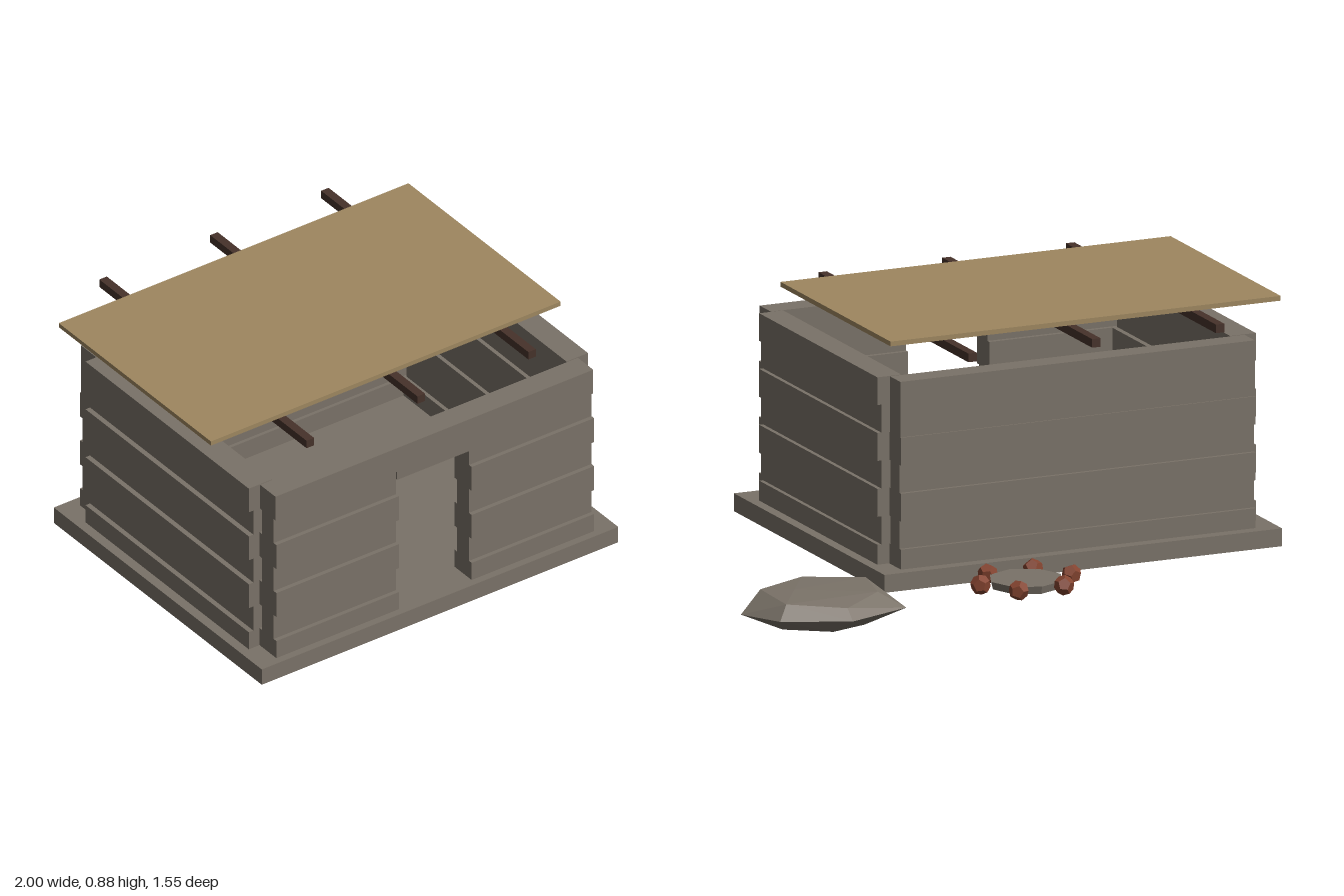
import * as THREE from 'three';
import { ConvexGeometry } from 'three/addons/geometries/ConvexGeometry.js';

export function createModel() {
  const model = new THREE.Group();
  model.name = 'stoneHut';
  const mat = (name, color, flatShading = false) => {
    const m = new THREE.MeshStandardMaterial({ color, flatShading });
    m.name = name;
    return m;
  };
  const stone = mat('stone', 0x7a7268, true);
  const thatch = mat('thatch', 0x9e8760);
  const darkWood = mat('darkWood', 0x46322a);
  const clay = mat('clay', 0x844430, true);

  const add = (parent, name, geometry, material) => {
    const mesh = new THREE.Mesh(geometry, material);
    mesh.name = name;
    parent.add(mesh);
    return mesh;
  };
  // Box given by its limits on each axis
  const box = (parent, name, material, [x0, x1], [y0, y1], [z0, z1]) => {
    const mesh = add(parent, name, new THREE.BoxGeometry(x1 - x0, y1 - y0, z1 - z0), material);
    mesh.position.set((x0 + x1) / 2, (y0 + y1) / 2, (z0 + z1) / 2);
    return mesh;
  };
  const group = (name) => {
    const g = new THREE.Group();
    g.name = name;
    model.add(g);
    return g;
  };

  // Foundation slab
  box(model, 'foundation', stone, [-0.977, 0.45], [0.055, 0.115], [-0.39, 0.772]);

  // Walls: courses alternate between thick and thin
  const levels = [0.1, 0.182, 0.276, 0.37, 0.464, 0.558, 0.652, 0.745];
  const ends = [-0.9, 0.372];
  const door = [-0.41, -0.118];
  const front = group('frontWall'), back = group('backWall');
  const left = group('leftWall'), right = group('rightWall');
  for (let k = 0; k < 7; k++) {
    const y = [levels[k], levels[k + 1]];
    const thick = k % 2 === 0;
    const span = (c, wide, thin) => {
      const h = thick ? wide : thin;
      return [c - h, c + h];
    };
    const zFront = span(0.698, k === 6 ? 0.043 : 0.048, 0.033);
    const zBack = k > 4 ? [-0.345, -0.265] : span(-0.304, 0.046, 0.034);
    if (k === 6) {
      box(front, 'topCourse', stone, ends, y, zFront);
    } else {
      box(front, 'course', stone, [ends[0], door[0]], y, zFront);
      box(front, 'course', stone, [door[1], ends[1]], y, zFront);
    }
    box(back, 'course', stone, ends, y, zBack);
    box(right, 'course', stone, span(-0.897, 0.046, 0.028), y, [-0.26, 0.652]);
    box(left, 'course', stone, span(0.372, 0.043, 0.029), y, [-0.26, 0.652]);
  }
  box(front, 'lintel', stone, door, [0.617, 0.652], [0.657, 0.737]);

  // Flat roof panel on three rafters
  box(model, 'roofPanel', thatch, [-1, 0.4], [0.864, 0.88], [-0.33, 0.52]);
  const rafters = group('rafters');
  for (const x of [-0.708, -0.264, 0.18]) {
    box(rafters, 'rafter', darkWood, [x - 0.015, x + 0.015], [0.826, 0.855], [-0.49, 0.668]);
  }

  // Faceted boulder: rim, upper ring and underside
  const boulder = [
    [0.715, 0.065, -0.717], [0.94, 0.07, -0.64], [1, 0.06, -0.465], [0.92, 0.06, -0.36],
    [0.715, 0.062, -0.19], [0.463, 0.065, -0.262], [0.49, 0.07, -0.645],
    [0.715, 0.1, -0.675], [0.565, 0.118, -0.585], [0.525, 0.12, -0.405], [0.715, 0.122, -0.32],
    [0.9, 0.119, -0.4], [0.9, 0.115, -0.6], [0.81, 0.125, -0.47],
    [0.7, 0.012, -0.3], [0.56, 0.012, -0.4], [0.6, 0.005, -0.56],
    [0.74, 0.01, -0.62], [0.88, 0.012, -0.53], [0.84, 0, -0.4],
  ].map((p) => new THREE.Vector3(...p));
  add(model, 'boulder', new ConvexGeometry(boulder), stone);

  // Hearth: stone disc ringed by six small clay lumps
  const hearth = group('hearth');
  hearth.position.set(0.053, 0.113, -0.628);
  const disc = add(hearth, 'hearthSlab', new THREE.CylinderGeometry(0.125, 0.118, 0.026, 8), stone);
  disc.position.y = -0.008;
  for (let i = 0; i < 6; i++) {
    const a = (i * Math.PI) / 3;
    const lump = add(hearth, 'clayLump', new THREE.DodecahedronGeometry(0.034), clay);
    lump.position.set(Math.cos(a) * 0.163, 0, Math.sin(a) * 0.138);
    lump.rotation.set(0.3 * i, a, 0.2);
  }
  return model;
}
